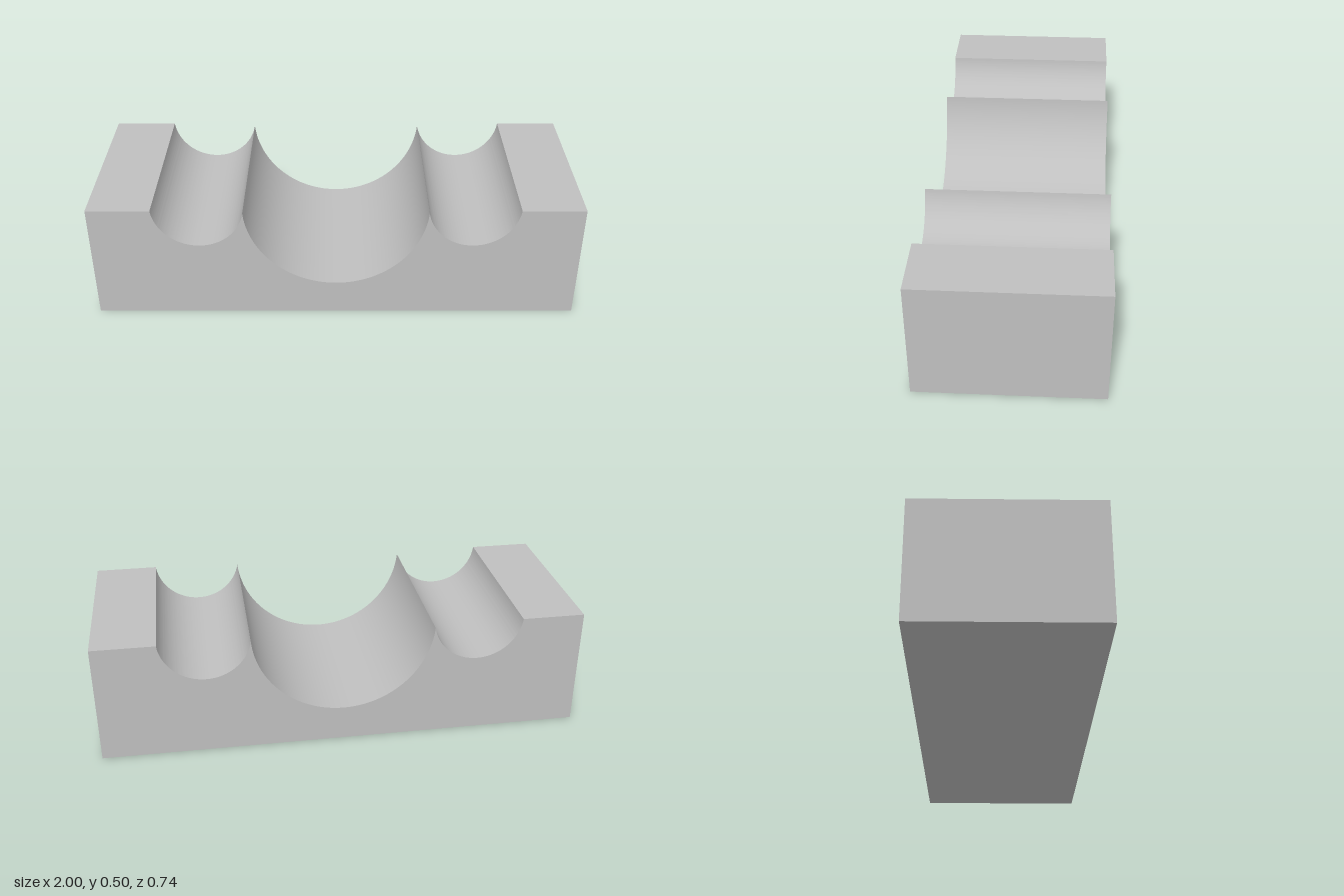
import * as THREE from 'three';
import { toCreasedNormals } from 'three/addons/utils/BufferGeometryUtils.js';

const HEIGHT = 0.503, DEPTH = 0.742;
const AXIS_Y = 0.523;              // shared height of the channel axes
const BIG = 0.375, SMALL = 0.186;  // channel radii
const OFFSET = 0.557;              // side channel axis distance from the middle

export function createModel() {
  const grey = new THREE.MeshStandardMaterial({ color: 0xbfbfbf });
  grey.name = 'grey';

  // Ridge where a side channel meets the middle channel
  const ridgeX = (OFFSET ** 2 + BIG ** 2 - SMALL ** 2) / (2 * OFFSET);
  const ridgeDrop = Math.sqrt(BIG ** 2 - ridgeX ** 2);

  // Angles below horizontal at which each arc starts or ends
  const rim = Math.asin((AXIS_Y - HEIGHT) / SMALL);
  const smallRidge = Math.asin(ridgeDrop / SMALL);
  const bigRidge = Math.asin(ridgeDrop / BIG);

  // Front profile: block with three round channels cut into the top
  const profile = new THREE.Shape();
  profile.moveTo(-1, 0);
  profile.lineTo(1, 0);
  profile.lineTo(1, HEIGHT);
  profile.absarc(OFFSET, AXIS_Y, SMALL, -rim, -Math.PI + smallRidge, true);
  profile.absarc(0, AXIS_Y, BIG, -bigRidge, -Math.PI + bigRidge, true);
  profile.absarc(-OFFSET, AXIS_Y, SMALL, -smallRidge, -Math.PI + rim, true);
  profile.lineTo(-1, HEIGHT);
  profile.closePath();

  const geometry = new THREE.ExtrudeGeometry(profile, {
    depth: DEPTH, bevelEnabled: false, curveSegments: 48,
  });
  geometry.translate(0, 0, -DEPTH / 2);

  const block = new THREE.Mesh(toCreasedNormals(geometry, 0.5), grey);
  block.name = 'channelledBlock';

  const model = new THREE.Group();
  model.name = 'cradleBlock';
  model.add(block);
  return model;
}
